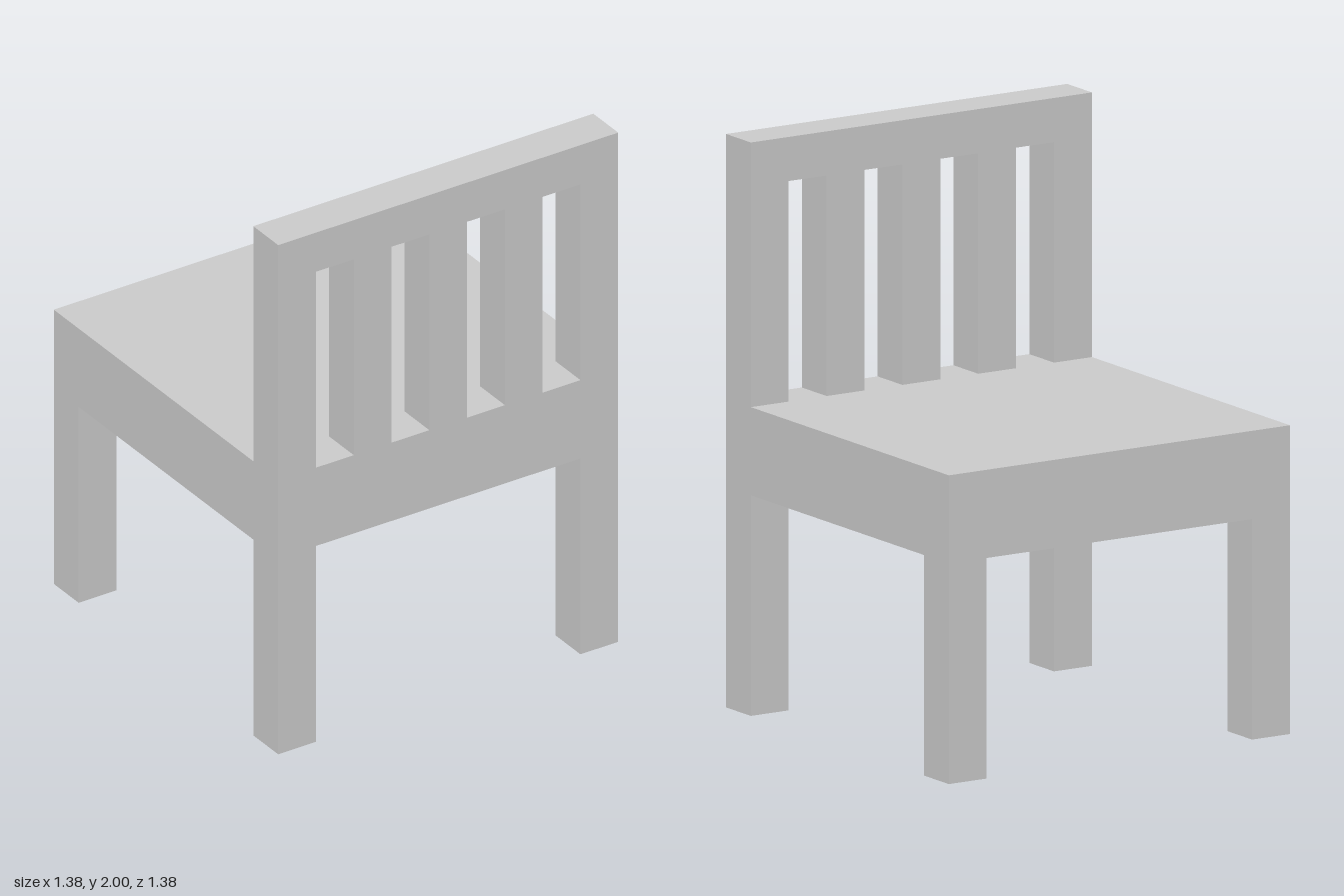
import * as THREE from 'three';

// Everything sits on a grid of 13 units to half the height
const U = 1 / 13;
const material = new THREE.MeshStandardMaterial({ color: 0xcccccc, flatShading: true });

const polygon = (Type, points) => new Type(points.map(([x, y]) => new THREE.Vector2(x * U, y * U)));

function box(name, w, h, d, x, y, z) {
  const mesh = new THREE.Mesh(new THREE.BoxGeometry(w * U, h * U, d * U), material);
  mesh.position.set(x * U, y * U, z * U);
  mesh.name = name;
  return mesh;
}

export function createModel() {
  const chair = new THREE.Group();
  chair.name = 'chair';

  // Back frame: rear legs, lower panel, posts and top rail in one outline
  const outline = polygon(THREE.Shape, [
    [-9, 0], [-7, 0], [-7, 10], [7, 10], [7, 0], [9, 0], [9, 26], [-9, 26],
  ]);
  // Four openings leave three upright slats
  for (const x of [-6, -2, 2, 6]) {
    outline.holes.push(polygon(THREE.Path, [[x - 1, 14], [x - 1, 24], [x + 1, 24], [x + 1, 14]]));
  }
  const back = new THREE.Mesh(
    new THREE.ExtrudeGeometry(outline, { depth: 2 * U, bevelEnabled: false }), material);
  back.position.z = 7 * U;
  back.name = 'backFrameWithRearLegs';
  chair.add(back);

  // Thick seat, running from the back frame to the other end
  chair.add(box('seat', 18, 4, 16, 0, 12, -1));

  // Legs at the open end of the seat
  for (const [side, name] of [[1, 'leftLeg'], [-1, 'rightLeg']]) {
    chair.add(box(name, 2, 10, 2, side * 8, 5, -8));
  }

  return chair;
}
